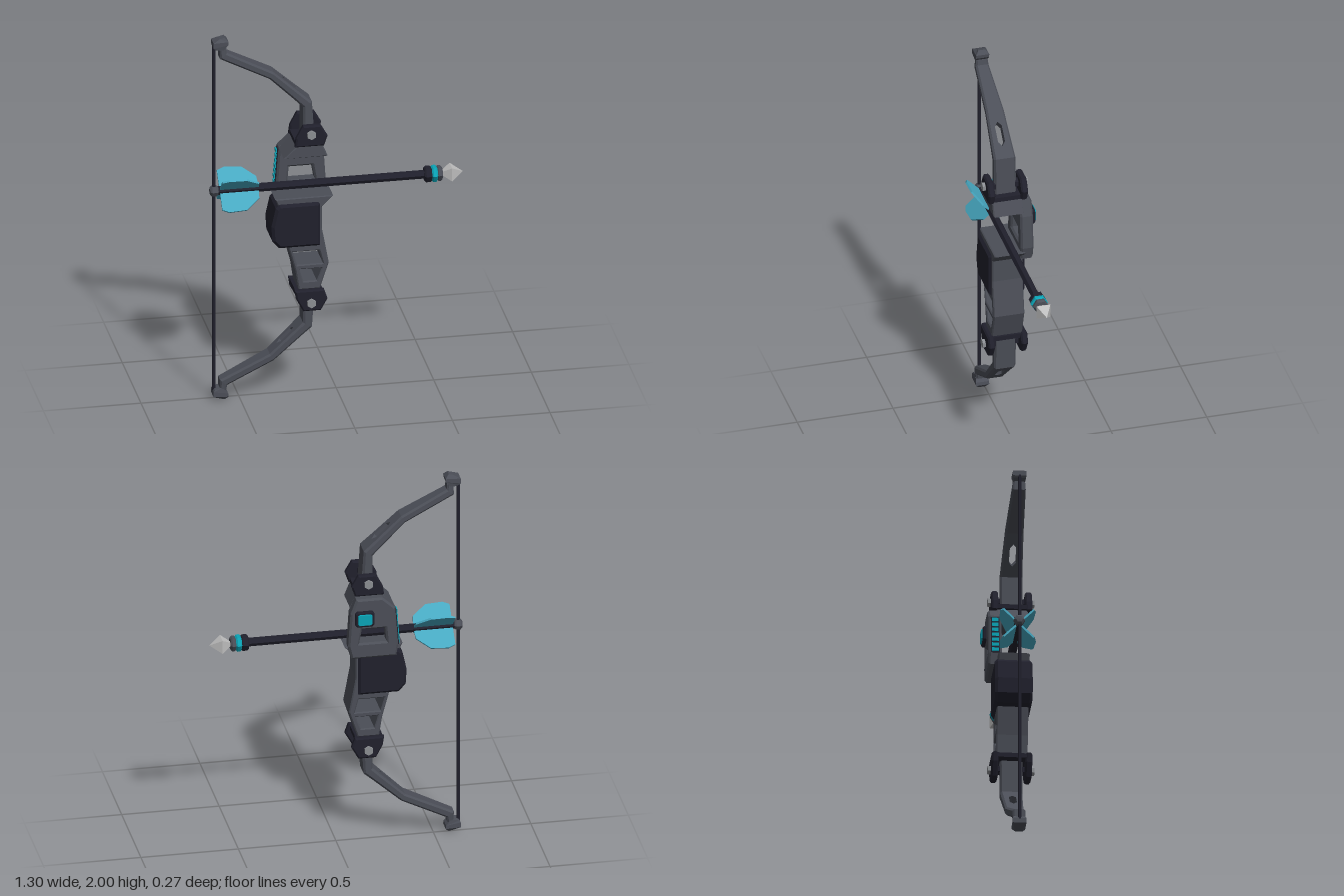
import * as THREE from 'three';

const mat = (name, color) => {
  const m = new THREE.MeshStandardMaterial({ color, flatShading: true });
  m.name = name;
  return m;
};

// Loft closed convex loops of [x, y, z] points into a capped solid, faces outward
function loft(loops) {
  const pos = [], n = loops[0].length;
  const tri = (...p) => p.forEach((v) => pos.push(...v));
  for (let i = 0; i + 1 < loops.length; i++) {
    for (let j = 0; j < n; j++) {
      const k = (j + 1) % n, a = loops[i], b = loops[i + 1];
      tri(a[j], a[k], b[k]);
      tri(a[j], b[k], b[j]);
    }
  }
  const first = loops[0], last = loops[loops.length - 1];
  for (let j = 1; j + 1 < n; j++) {
    tri(first[0], first[j + 1], first[j]);
    tri(last[0], last[j], last[j + 1]);
  }
  // a negative volume means the loops ran the other way round
  let volume = 0;
  const v = (i) => new THREE.Vector3(pos[i], pos[i + 1], pos[i + 2]);
  for (let i = 0; i < pos.length; i += 9) volume += v(i).dot(v(i + 3).cross(v(i + 6)));
  if (volume < 0) {
    for (let i = 0; i < pos.length; i += 9) {
      const b = pos.slice(i + 3, i + 6);
      for (let c = 0; c < 3; c++) { pos[i + 3 + c] = pos[i + 6 + c]; pos[i + 6 + c] = b[c]; }
    }
  }
  const g = new THREE.BufferGeometry();
  g.setAttribute('position', new THREE.Float32BufferAttribute(pos, 3));
  g.computeVertexNormals();
  return g;
}

// Plate with a front outline, running from z0 to z1 with chamfered edges
function plate(points, z0, z1, bevel = 0.008, holes = []) {
  // outlines run anticlockwise and holes clockwise
  const wind = (list, clockwise) => {
    const p = list.map(([x, y]) => new THREE.Vector2(x, y));
    return THREE.ShapeUtils.isClockWise(p) === clockwise ? p : p.reverse();
  };
  const shape = new THREE.Shape(wind(points, false));
  holes.forEach((h) => shape.holes.push(new THREE.Path(wind(h, true))));
  const g = new THREE.ExtrudeGeometry(shape, {
    depth: z1 - z0 - 2 * bevel, bevelEnabled: bevel > 0, bevelSize: bevel,
    bevelThickness: bevel, bevelOffset: -bevel, bevelSegments: 1,
  });
  return g.translate(0, 0, z0 + bevel);
}

export function createModel() {
  const root = new THREE.Group();
  root.name = 'bowAndArrow';
  const bow = new THREE.Group();
  bow.name = 'bow';
  const arrow = new THREE.Group();
  arrow.name = 'arrow';
  bow.position.z = 0.015;
  arrow.position.set(0, 1.148, 0.013);
  root.add(bow, arrow);

  const grey = mat('frameGrey', 0x4b4e57);
  const dark = mat('darkGrip', 0x20202c);
  const teal = mat('brightTeal', 0x0aa3b5);
  const feather = mat('featherTeal', 0x47a9c2);
  const steel = mat('boltSteel', 0x8b8e92);
  const tipMetal = mat('arrowheadSilver', 0xbdbdbd);

  const add = (parent, name, geo, m) => {
    const mesh = new THREE.Mesh(geo, m);
    mesh.name = name;
    parent.add(mesh);
  };

  // Lower riser with two cut-outs
  add(bow, 'lowerRiser', plate([
    [-0.33, 1.108], [-0.033, 1.108], [-0.09, 1.05], [-0.09, 0.93], [-0.055, 0.74], [-0.1, 0.6],
    [-0.21, 0.6], [-0.225, 0.7], [-0.265, 0.85], [-0.3, 0.9], [-0.31, 1.06],
  ], -0.08, 0.08, 0.006, [
    [[-0.238, 0.81], [-0.104, 0.81], [-0.085, 0.738], [-0.217, 0.738]],
    [[-0.205, 0.712], [-0.09, 0.712], [-0.117, 0.645], [-0.185, 0.645]],
  ]), grey);

  // Hand grip
  add(bow, 'grip', plate([
    [-0.31, 1.08], [-0.11, 1.08], [-0.1, 1.068], [-0.1, 0.84],
    [-0.31, 0.84], [-0.345, 0.88], [-0.35, 0.96], [-0.328, 1.06],
  ], -0.096, 0.094, 0.014), dark);

  // Upper riser: offset side plate with a window, and the block that carries the hinge
  add(bow, 'sidePlate', plate([
    [-0.22, 1.39], [-0.085, 1.39], [-0.055, 1.31], [-0.043, 1.13], [-0.06, 1.06],
    [-0.29, 1.06], [-0.3, 1.12], [-0.285, 1.33],
  ], -0.125, -0.058, 0.01, [
    [[-0.233, 1.22], [-0.113, 1.22], [-0.1, 1.145], [-0.24, 1.145]],
  ]), grey);
  add(bow, 'upperBlock', plate([
    [-0.21, 1.402], [-0.09, 1.402], [-0.06, 1.328], [-0.285, 1.328],
  ], -0.08, 0.08, 0.006), grey);

  // Sight box on the back of the side plate
  const octagon = (x, y, w, h, c) => [
    [x - w + c, y - h], [x + w - c, y - h], [x + w, y - h + c], [x + w, y + h - c],
    [x + w - c, y + h], [x - w + c, y + h], [x - w, y + h - c], [x - w, y - h + c]];
  add(bow, 'sightBezel', plate(octagon(-0.125, 1.285, 0.048, 0.042, 0.01), -0.143, -0.12, 0.006), dark);
  add(bow, 'sightScreen', plate(octagon(-0.125, 1.285, 0.036, 0.03, 0.007), -0.15, -0.142, 0.002), teal);

  // Row of lights on a strip along the rear edge of the side plate
  const box = (w, h, d, x, y, z) => new THREE.BoxGeometry(w, h, d).translate(x, y, z);
  add(bow, 'lightStrip', plate([
    [-0.27, 1.32], [-0.29, 1.32], [-0.305, 1.12], [-0.28, 1.12],
  ], -0.114, -0.07, 0), dark);
  for (let i = 0; i < 7; i++) {
    const t = i / 6;
    add(bow, 'edgeLight', box(0.02, 0.018, 0.034, -0.287 - 0.012 * t, 1.305 - 0.17 * t, -0.092), teal);
  }

  // Limb stations: inner x, y, outer x, y, half width, half slot
  const slotStations = [[0.25, 0], [0.34, 0.018], [0.66, 0.018], [0.75, 0]].map(([t, slot]) => [
    -0.18 - 0.17 * t, 1.595 + 0.165 * t, -0.138 - 0.192 * t, 1.622 + 0.174 * t, 0.056 - 0.01 * t, slot]);
  const stations = [
    [-0.182, 1.41, -0.122, 1.41, 0.058, 0],
    [-0.182, 1.595, -0.136, 1.622, 0.056, 0],
    ...slotStations,
    [-0.35, 1.76, -0.33, 1.796, 0.046, 0],
    [-0.603, 1.887, -0.566, 1.918, 0.034, 0],
    [-0.603, 1.945, -0.57, 1.945, 0.03, 0],
  ];
  // Tip stations: string side x, y, front side x, y, half width
  const tipStations = [
    [-0.63, 1.94, -0.59, 1.93, 0.03], [-0.637, 1.95, -0.562, 1.962, 0.034],
    [-0.637, 1.977, -0.56, 1.98, 0.034], [-0.603, 1.993, -0.578, 2, 0.018],
  ];

  for (const upper of [true, false]) {
    const Y = (y) => (upper ? y : 2 - y);
    const label = upper ? 'upper' : 'lower';

    // Limb made of two halves that part around the slot
    for (const side of [1, -1]) {
      add(bow, label + 'Limb', loft(stations.map(([ix, iy, ox, oy, w, s]) =>
        [[0, s], [0, w - 0.009], [0.22, w], [0.78, w], [1, w - 0.009], [1, s]].map(([u, z]) =>
          [ix + (ox - ix) * u, Y(iy + (oy - iy) * u), side * z]))), grey);
    }
    add(bow, label + 'LimbTip', loft(tipStations.map(([x0, y0, x1, y1, w]) =>
      [[x0, Y(y0), -w], [x1, Y(y1), -w], [x1, Y(y1), w], [x0, Y(y0), w]])), grey);

    // Hinge: base, two cheeks, axle and bolts
    const cheek = [
      [-0.19, 1.512], [-0.1, 1.512], [-0.065, 1.45], [-0.083, 1.397], [-0.232, 1.397], [-0.225, 1.445],
    ].map(([x, y]) => [x, Y(y)]);
    for (const [z0, z1] of [[0.068, 0.103], [-0.103, -0.068]]) {
      add(bow, label + 'HingeCheek', plate(cheek, z0, z1, 0.008), dark);
    }
    add(bow, label + 'HingeBase', box(0.14, 0.024, 0.19, -0.158, Y(1.412), 0), dark);
    const rod = (r, len) => new THREE.CylinderGeometry(r, r, len, 6)
      .rotateX(Math.PI / 2).translate(-0.15, Y(1.465), 0);
    add(bow, label + 'HingeAxle', rod(0.026, 0.15), dark);
    add(bow, label + 'HingeBolt', rod(0.024, 0.236), steel);
  }

  // Bowstring
  add(bow, 'string', new THREE.CylinderGeometry(0.009, 0.009, 1.91, 6).translate(-0.63, 1, 0), dark);

  // Arrow parts are turned around the x axis: profile of [x, radius]
  const turned = (profile, sides = 6) => new THREE.LatheGeometry(
    profile.map(([x, r]) => new THREE.Vector2(r, x)), sides).rotateZ(-Math.PI / 2);
  add(arrow, 'shaft', turned([[-0.62, 0], [-0.62, 0.022], [0.46, 0.022], [0.46, 0]]), dark);
  add(arrow, 'nock', turned([[-0.652, 0], [-0.65, 0.018], [-0.64, 0.029], [-0.618, 0.029], [-0.605, 0.02], [-0.605, 0]]), grey);
  const collar = (name, x0, x1, r, m) => add(arrow, name,
    turned([[x0, 0], [x0, r - 0.008], [x0 + 0.008, r], [x1 - 0.008, r], [x1, r - 0.008], [x1, 0]]), m);
  collar('rearCollar', 0.447, 0.487, 0.042, dark);
  collar('collarRing', 0.484, 0.514, 0.044, teal);
  collar('frontCollar', 0.511, 0.54, 0.04, grey);
  add(arrow, 'arrowhead', turned([[0.535, 0], [0.535, 0.01], [0.585, 0.051], [0.647, 0]], 4)
    .rotateX(Math.PI / 4), tipMetal);

  // Four feathers set in an X
  const fin = [[-0.6, 0.01], [-0.6, 0.108], [-0.565, 0.123], [-0.475, 0.118], [-0.405, 0.06], [-0.4, 0.01]];
  for (let i = 0; i < 4; i++) {
    add(arrow, 'feather', plate(fin, -0.005, 0.005, 0)
      .rotateX(Math.PI / 4 + i * Math.PI / 2), feather);
  }
  return root;
}
